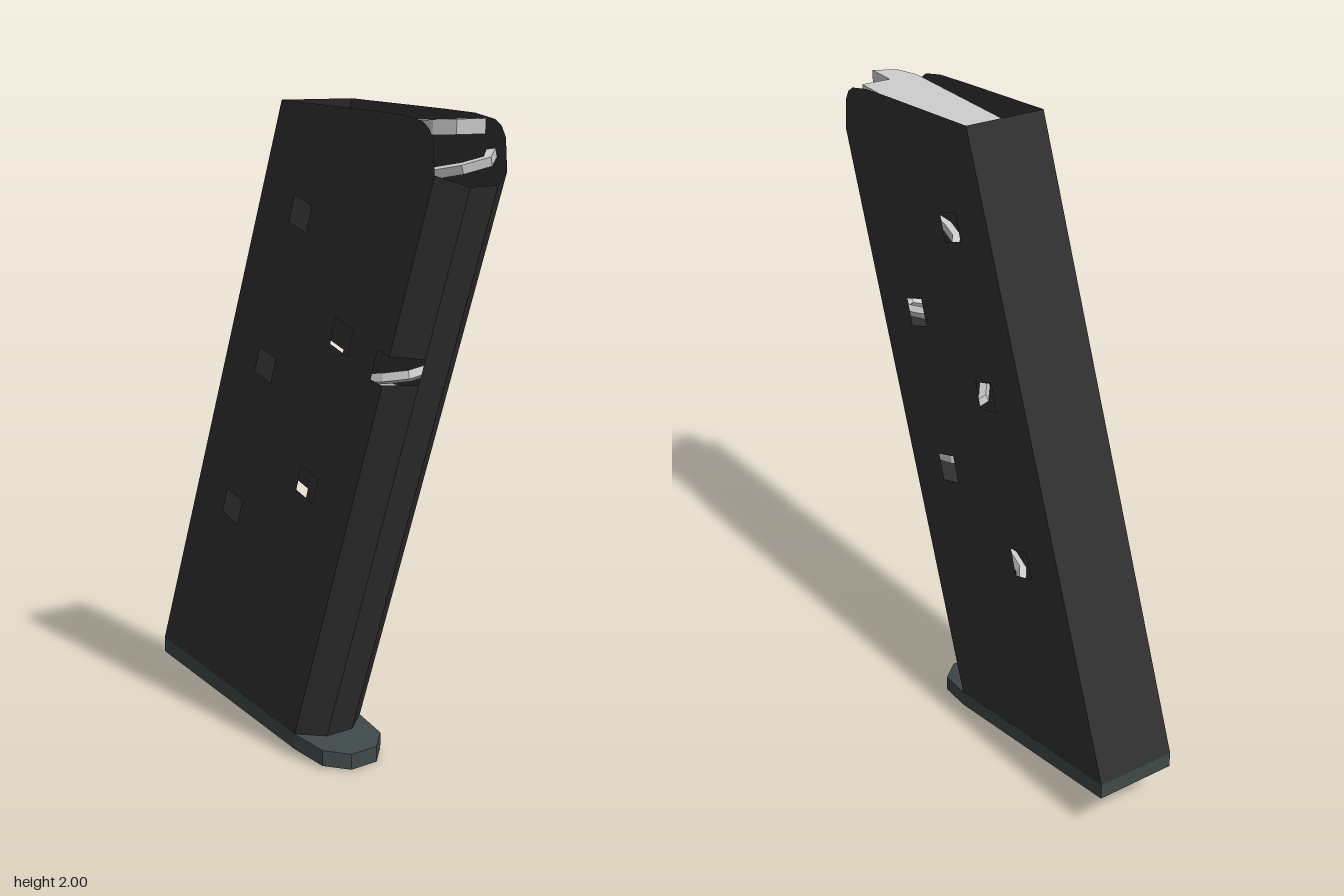
import * as THREE from 'three';

const HALF = 0.13, FLAT = 0.05;              // half width of body and of its front flat
const NOTCH = [1.235, 1.32];
const TILT = 0.345;

const sideEdge = y => 0.03 + (y - 0.078) * 0.35;     // z of the side/chamfer edge
const frontEdge = y => 0.09 + (y - 0.07) * 0.349;    // z of the front flat

const bodyMat = new THREE.MeshStandardMaterial({ color: 0x303030, side: THREE.DoubleSide, flatShading: true });
const plateMat = new THREE.MeshStandardMaterial({ color: 0x3e4848, flatShading: true });
const greyMat = new THREE.MeshStandardMaterial({ color: 0xcccccc, flatShading: true });

function add(parent, name, geometry, material) {
  const mesh = new THREE.Mesh(geometry, material);
  mesh.name = name;
  parent.add(mesh);
  return mesh;
}

// Flat panel from four corners, counter-clockwise from outside
function quad(a, b, c, d) {
  const g = new THREE.BufferGeometry();
  g.setAttribute('position', new THREE.Float32BufferAttribute([a, b, c, a, c, d].flat(), 3));
  g.computeVertexNormals();
  return g;
}

// Slab with an (x, z) outline, its underside at height base + slope * z
function slopedSlab(outline, thickness, base, slope) {
  const shape = new THREE.Shape(outline.map(([x, z]) => new THREE.Vector2(x, -z)));
  const g = new THREE.ExtrudeGeometry(shape, { depth: thickness, bevelEnabled: false });
  g.rotateX(-Math.PI / 2);
  const p = g.attributes.position;
  for (let i = 0; i < p.count; i++) p.setY(i, p.getY(i) + base + slope * p.getZ(i));
  g.computeVertexNormals();
  return g;
}

// Side wall with five square windows; s = 1 for +x, -1 for -x
function sideWall(s) {
  const v = ([z, y]) => new THREE.Vector2(-s * z, y);
  const outline = [[-0.70, 0.19], [0.03, 0.078]];
  if (s < 0) {
    const [lo, hi] = NOTCH;
    outline.push([sideEdge(lo), lo], [sideEdge(lo) - 0.05, lo + 0.01],
      [sideEdge(hi) - 0.05, hi + 0.01], [sideEdge(hi), hi]);
  }
  outline.push([sideEdge(1.82), 1.82], [0.632, 1.91], [0.615, 1.94], [0.59, 1.957],
    [0.51, 1.972], [0.38, 1.98], [-0.02, 2.0]);
  const shape = new THREE.Shape(outline.map(v));
  const windows = [[0.066, 1.68], [0.257, 1.348], [-0.11, 1.215], [0.095, 0.886], [-0.29, 0.738]];
  for (const [z, y] of windows) {
    const corners = [0, 1, 2, 3].map(i => {
      const a = Math.PI / 4 + i * Math.PI / 2 - TILT + 0.03;
      return v([z + 0.059 * Math.cos(a), y + 0.059 * Math.sin(a)]);
    });
    shape.holes.push(new THREE.Path(corners));
  }
  const g = new THREE.ShapeGeometry(shape);
  g.rotateY(s * Math.PI / 2);
  g.translate(s * HALF, 0, 0);
  return g;
}

export function createModel() {
  const model = new THREE.Group();
  model.name = 'magazine';

  // Sheet body: sides, back and three front facets
  const body = new THREE.Group();
  body.name = 'body';
  model.add(body);
  add(body, 'leftWall', sideWall(1), bodyMat);
  add(body, 'rightWall', sideWall(-1), bodyMat);
  add(body, 'backWall', quad([HALF, 0.19, -0.70], [-HALF, 0.19, -0.70], [-HALF, 2, -0.02], [HALF, 2, -0.02]), bodyMat);
  const outer = y => [y, sideEdge(y)], inner = y => [y, frontEdge(y)];
  const chamfer = (s, y0, y1, top0 = y0, top1 = y1) => {
    const a = [s * HALF, ...outer(y0)], b = [s * FLAT, ...inner(top0)];
    const c = [s * FLAT, ...inner(top1)], d = [s * HALF, ...outer(y1)];
    return s < 0 ? quad(a, b, c, d) : quad(b, a, d, c);
  };
  add(body, 'frontWall', quad([-FLAT, ...inner(0.07)], [FLAT, ...inner(0.07)],
    [FLAT, ...inner(1.79)], [-FLAT, ...inner(1.79)]), bodyMat);
  add(body, 'leftChamfer', chamfer(1, 0.078, 1.82, 0.07, 1.79), bodyMat);
  add(body, 'rightChamferLower', chamfer(-1, 0.078, NOTCH[0], 0.07, NOTCH[0]), bodyMat);
  add(body, 'rightChamferUpper', chamfer(-1, NOTCH[1], 1.82, NOTCH[1] - 0.01, 1.79), bodyMat);

  // Sloping base plate with a faceted toe
  const half = [[HALF, -0.70], [HALF, 0.03], [0.115, 0.15], [FLAT, 0.21]];
  const mirrored = half.map(([x, z]) => [-x, z]).reverse();
  add(model, 'basePlate', slopedSlab([...half, ...mirrored], 0.05, 0.0323, -0.154), plateMat);

  // Follower with a stepped nose
  add(model, 'follower', slopedSlab([[-0.095, -0.005], [0.095, -0.005], [0.095, 0.59], [0, 0.59],
    [0, 0.69], [-0.07, 0.655], [-0.095, 0.59]], 0.04, 1.894, 0.045), greyMat);

  // Coil spring leaning with the body
  const pitch = 0.145, turns = 12, pts = [];
  const tEnd = 0.9, steps = turns * 10;
  for (let i = 0; i <= steps; i++) {
    const t = tEnd - (1 - i / steps) * turns * Math.PI * 2;
    const y = 1.85 + pitch * t / (Math.PI * 2);
    pts.push(new THREE.Vector3(0.09 * Math.sin(t), y, frontEdge(y) - 0.165 + 0.14 * Math.cos(t)));
  }
  add(model, 'spring', new THREE.TubeGeometry(new THREE.CatmullRomCurve3(pts), steps, 0.018, 4), greyMat);

  return model;
}
